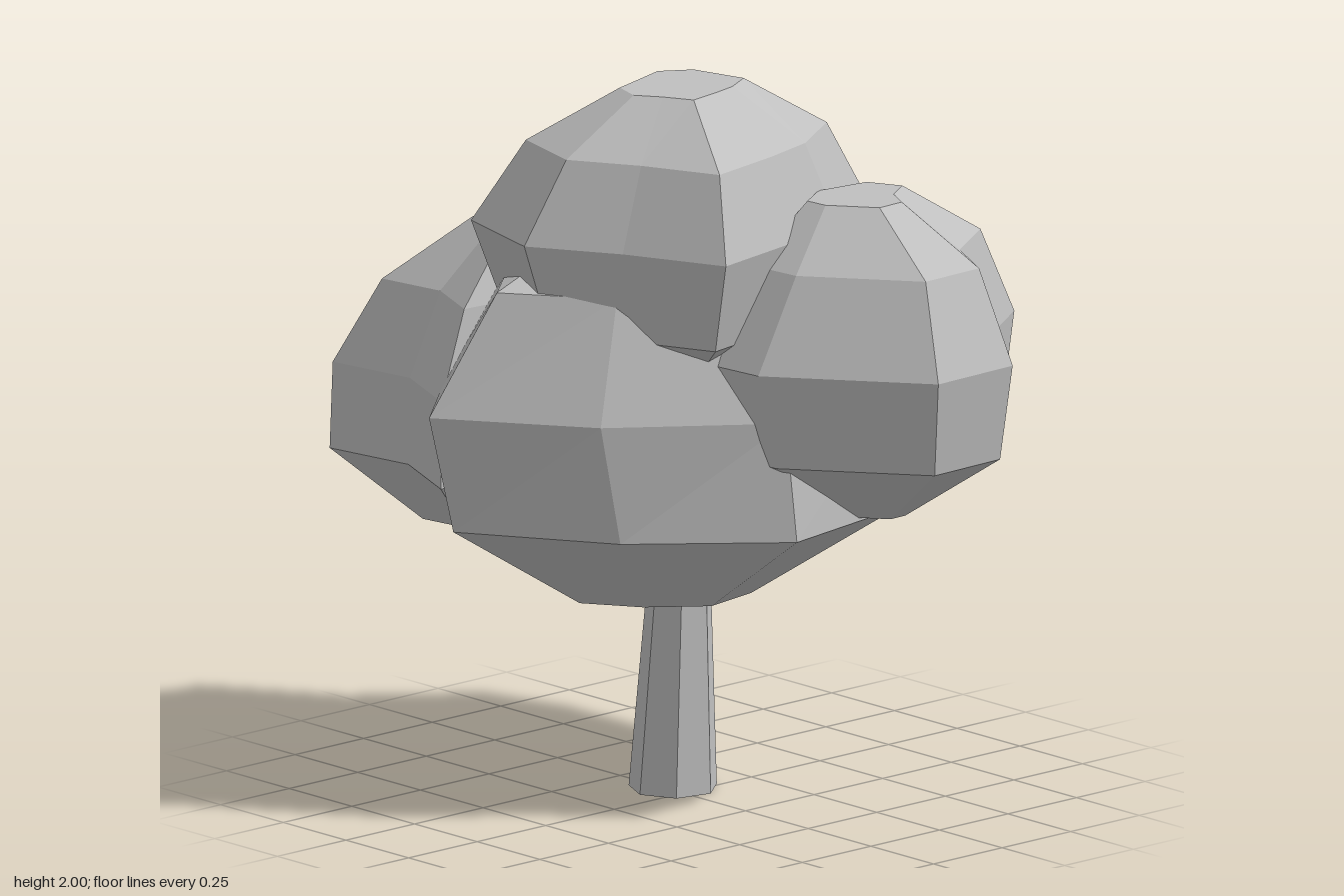
import * as THREE from 'three';

const grey = new THREE.MeshStandardMaterial({ color: 0xbfbfbf, flatShading: true });
grey.name = 'pale grey';

// Faceted solid: an [x, z] outline repeated at several heights.
// Each row is [y, centreX, centreZ, scaleX, scaleZ]; the outline is scaled about pivot.
function loft(name, pivot, outline, rows) {
  const n = outline.length;
  const points = [];
  const index = [];
  for (const [y, cx, cz, sx, sz = sx] of rows) {
    for (const [x, z] of outline) {
      points.push(cx + (x - pivot[0]) * sx, y, cz + (z - pivot[1]) * sz);
    }
  }
  for (let j = 0; j < rows.length - 1; j++) {
    for (let i = 0; i < n; i++) {
      const a = j * n + i;
      const b = j * n + (i + 1) % n;
      index.push(a, b, b + n, a, b + n, a + n);
    }
  }
  // Flat bottom and top
  const bottom = points.length / 3;
  const first = rows[0];
  const last = rows[rows.length - 1];
  points.push(first[1], first[0], first[2], last[1], last[0], last[2]);
  // Centre points are stored as x, y, z
  points.splice(bottom * 3, 6, first[1], first[0], first[2], last[1], last[0], last[2]);
  const topStart = (rows.length - 1) * n;
  for (let i = 0; i < n; i++) {
    const k = (i + 1) % n;
    index.push(bottom, k, i, bottom + 1, topStart + i, topStart + k);
  }
  const indexed = new THREE.BufferGeometry();
  indexed.setAttribute('position', new THREE.Float32BufferAttribute(points, 3));
  indexed.setIndex(index);
  const geometry = indexed.toNonIndexed();
  geometry.computeVertexNormals();
  const mesh = new THREE.Mesh(geometry, grey);
  mesh.name = name;
  return mesh;
}

export function createModel() {
  const tree = new THREE.Group();
  tree.name = 'tree';

  // Leaning, tapered trunk
  const ring = [];
  for (let i = 0; i < 7; i++) {
    const t = (i / 7) * Math.PI * 2;
    ring.push([Math.sin(t), Math.cos(t)]);
  }
  tree.add(loft('trunk', [0, 0], ring, [
    [0, -0.065, -0.025, 0.122],
    [0.55, -0.02, -0.005, 0.09],
    [0.7, -0.005, 0, 0.08],
  ]));

  // Broad central foliage
  tree.add(loft('mainFoliage', [-0.17, 0], [
    [-0.17, 0.77], [0.22, 0.5], [0.52, 0.1], [0.44, -0.38], [0.15, -0.76],
    [-0.28, -0.76], [-0.51, -0.46], [-0.86, -0.24], [-0.76, 0.1], [-0.48, 0.42],
  ], [
    [0.55, -0.13, -0.02, 0.38, 0.36],
    [0.82, -0.16, -0.01, 1.02, 0.91],
    [1.15, -0.17, 0, 1, 1],
    [1.48, -0.1, 0.04, 0.69, 0.71],
    [1.55, -0.1, 0.05, 0.45],
  ]));

  // Crown
  tree.add(loft('topFoliage', [0, 0.05], [
    [-0.02, 0.56], [0.22, 0.42], [0.5, 0.3], [0.44, 0], [0.38, -0.22],
    [0.22, -0.47], [-0.34, -0.35], [-0.53, -0.1], [-0.42, 0.2], [-0.32, 0.48],
  ], [
    [1.22, 0, 0.05, 0.45],
    [1.36, 0.01, 0.06, 0.82],
    [1.62, 0, 0.05, 1],
    [1.85, 0.04, 0.06, 0.76],
    [2, 0.07, 0.07, 0.28, 0.33],
  ]));

  // Side cluster on +x
  tree.add(loft('leftFoliage', [0.5, -0.28], [
    [0.3, 0.22], [0.52, 0.2], [0.91, -0.1], [0.9, -0.38],
    [0.65, -0.51], [0.48, -0.77], [0.17, -0.62], [0.1, -0.1],
  ], [
    [0.83, 0.48, -0.28, 0.2],
    [1.03, 0.5, -0.29, 0.88],
    [1.3, 0.5, -0.28, 1],
    [1.56, 0.52, -0.27, 0.72],
    [1.72, 0.48, -0.22, 0.3],
  ]));

  // Side cluster on -x
  tree.add(loft('rightFoliage', [-0.58, 0.2], [
    [-0.57, 0.48], [-0.32, 0.59], [-0.29, 0.25], [-0.4, -0.08], [-0.65, -0.25],
    [-0.87, -0.21], [-0.9, 0], [-0.92, 0.27], [-0.84, 0.52],
  ], [
    [0.7, -0.54, 0.22, 0.42],
    [0.89, -0.58, 0.2, 1],
    [1.13, -0.58, 0.2, 0.98],
    [1.37, -0.53, 0.2, 0.74],
    [1.55, -0.46, 0.18, 0.3],
  ]));

  return tree;
}
